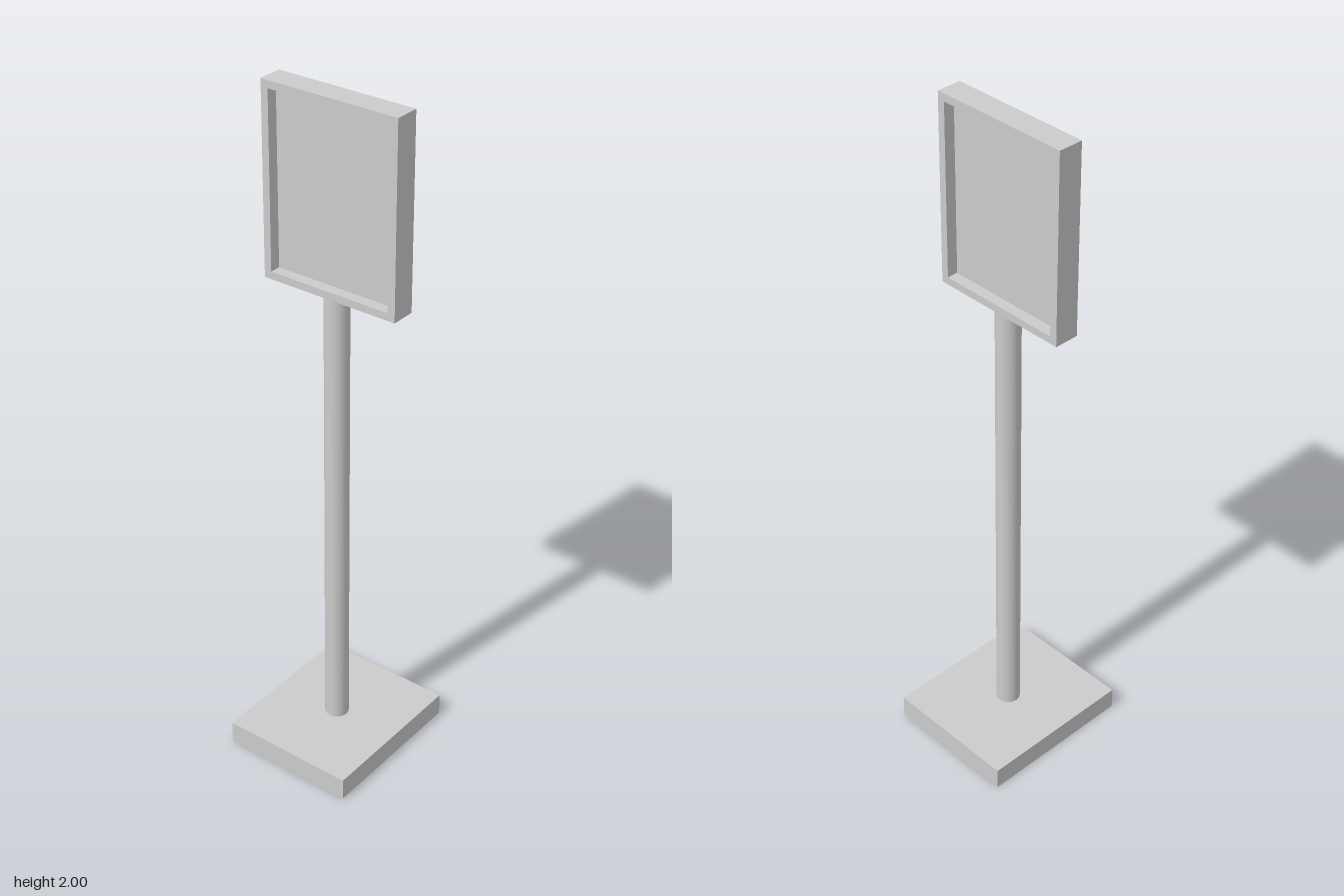
import * as THREE from 'three';

export function createModel() {
  const model = new THREE.Group();
  const grey = new THREE.MeshStandardMaterial({ color: 0xcccccc });

  const add = (name, geometry, x, y, z) => {
    const mesh = new THREE.Mesh(geometry, grey);
    mesh.name = name;
    mesh.position.set(x, y, z);
    model.add(mesh);
  };

  // Foot plate and round post
  const baseHeight = 0.067, signBottom = 1.45;
  add('base', new THREE.BoxGeometry(0.41, baseHeight, 0.476), 0, baseHeight / 2, 0);
  const postHeight = signBottom - baseHeight;
  add('post', new THREE.CylinderGeometry(0.035, 0.035, postHeight, 32), 0, baseHeight + postHeight / 2, 0);

  // Sign frame: a rectangle with a rectangular opening
  const width = 0.422, height = 0.55, depth = 0.073, border = 0.022;
  const rectangle = (target, w, h) => target
    .moveTo(-w / 2, -h / 2).lineTo(w / 2, -h / 2)
    .lineTo(w / 2, h / 2).lineTo(-w / 2, h / 2).closePath();
  const outline = rectangle(new THREE.Shape(), width, height);
  outline.holes.push(rectangle(new THREE.Path(), width - 2 * border, height - 2 * border));
  const frame = new THREE.ExtrudeGeometry(outline, { depth, bevelEnabled: false });
  frame.translate(0, 0, -depth / 2);
  const signY = signBottom + height / 2;
  add('signFrame', frame, 0, signY, 0);

  // Thin panel recessed from both faces
  add('signPanel', new THREE.BoxGeometry(width - 2 * border, height - 2 * border, 0.008), 0, signY, 0);

  return model;
}
